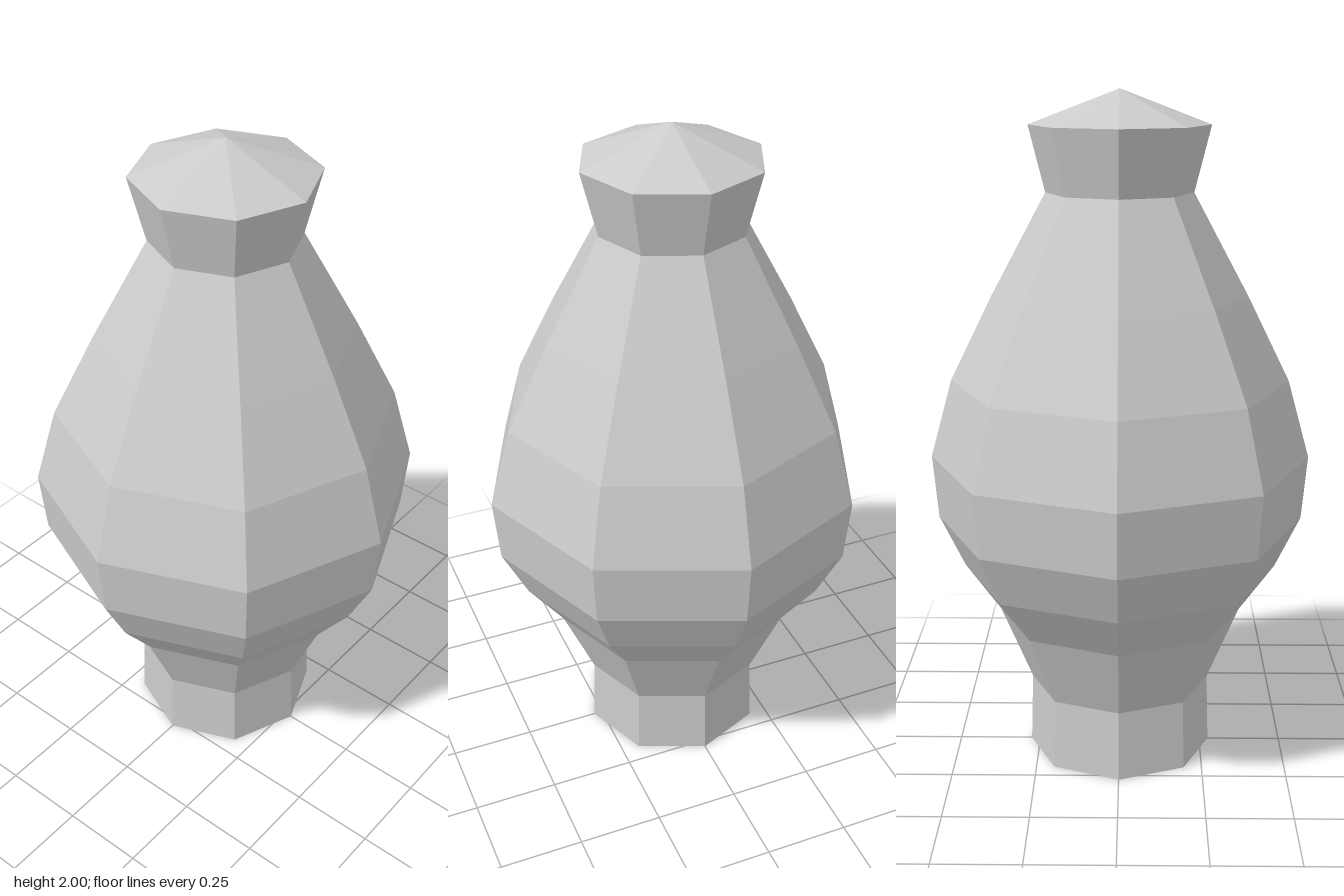
import * as THREE from 'three';

const SIDES = 8;

// Faceted ring of panels turned from a [radius, height] profile, bottom to top
function turned(name, profile, material) {
  const points = profile.map(([r, y]) => new THREE.Vector2(r, y));
  const mesh = new THREE.Mesh(new THREE.LatheGeometry(points, SIDES), material);
  mesh.name = name;
  return mesh;
}

export function createModel() {
  const group = new THREE.Group();
  group.name = 'vase';
  const material = new THREE.MeshStandardMaterial({
    color: 0xcccccc, flatShading: true, side: THREE.DoubleSide,
  });

  // Hollow foot, open underneath
  group.add(turned('foot', [[0.277, 0], [0.271, 0.212]], material));

  // Swelling belly narrowing to the shoulder
  group.add(turned('body', [
    [0.271, 0.212], [0.366, 0.435], [0.472, 0.577], [0.548, 0.732],
    [0.565, 0.923], [0.5, 1.157], [0.375, 1.41], [0.214, 1.709],
  ], material));

  // Flared collar
  group.add(turned('collar', [[0.214, 1.709], [0.262, 1.9]], material));

  // Low pointed lid
  const lid = new THREE.Mesh(new THREE.ConeGeometry(0.262, 0.1, SIDES, 1, true), material);
  lid.name = 'lid';
  lid.position.y = 1.95;
  group.add(lid);

  return group;
}
